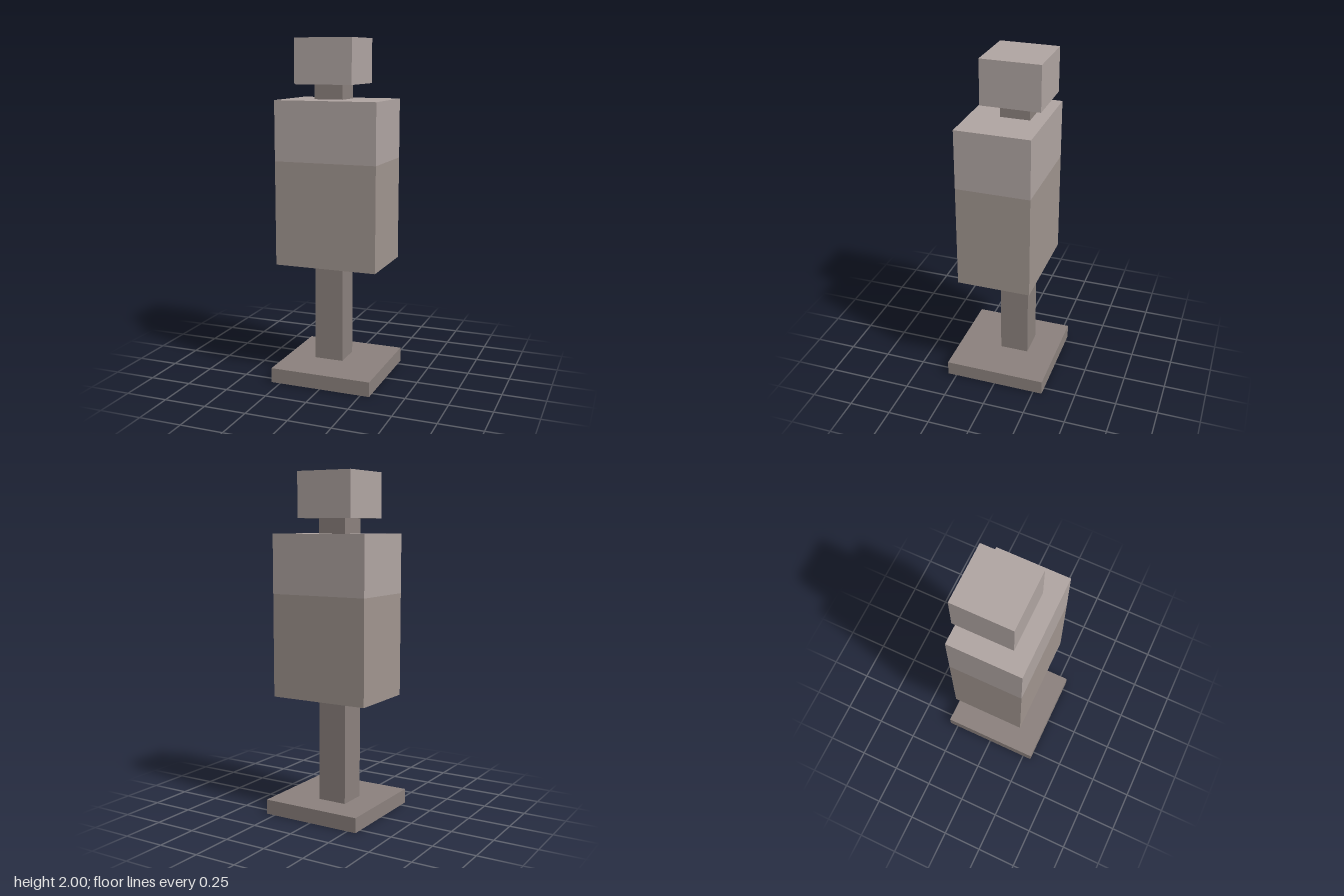
import * as THREE from 'three';

// The figure is laid out on a grid of 23 units in height
const U = 2 / 23;

const paint = (color) => new THREE.MeshStandardMaterial({ color, flatShading: true });

export function createModel() {
  const model = new THREE.Group();
  const pale = paint(0xb0a5a2);
  const middle = paint(0xa0958f);
  const dark = paint(0x8b817d);

  // Block from its grid size, bottom height and centre offset
  function block(name, material, [w, h, d], bottom, offset = 0) {
    const mesh = new THREE.Mesh(new THREE.BoxGeometry(w * U, h * U, d * U), material);
    mesh.position.set(offset * U, (bottom + h / 2) * U, offset * U);
    mesh.name = name;
    model.add(mesh);
  }

  // Stand
  block('base', dark, [7, 1, 7], 0);
  block('post', dark, [2, 7, 2], 1, -0.5);

  // Body in two tones
  block('lowerTorso', middle, [7, 7, 5], 8);
  block('upperTorso', pale, [7, 4, 5], 15);

  // Neck and head, set off-centre in line with the post
  block('neck', dark, [2, 1, 2], 19, -0.5);
  block('head', pale, [4, 3, 4], 20, -0.5);

  return model;
}
